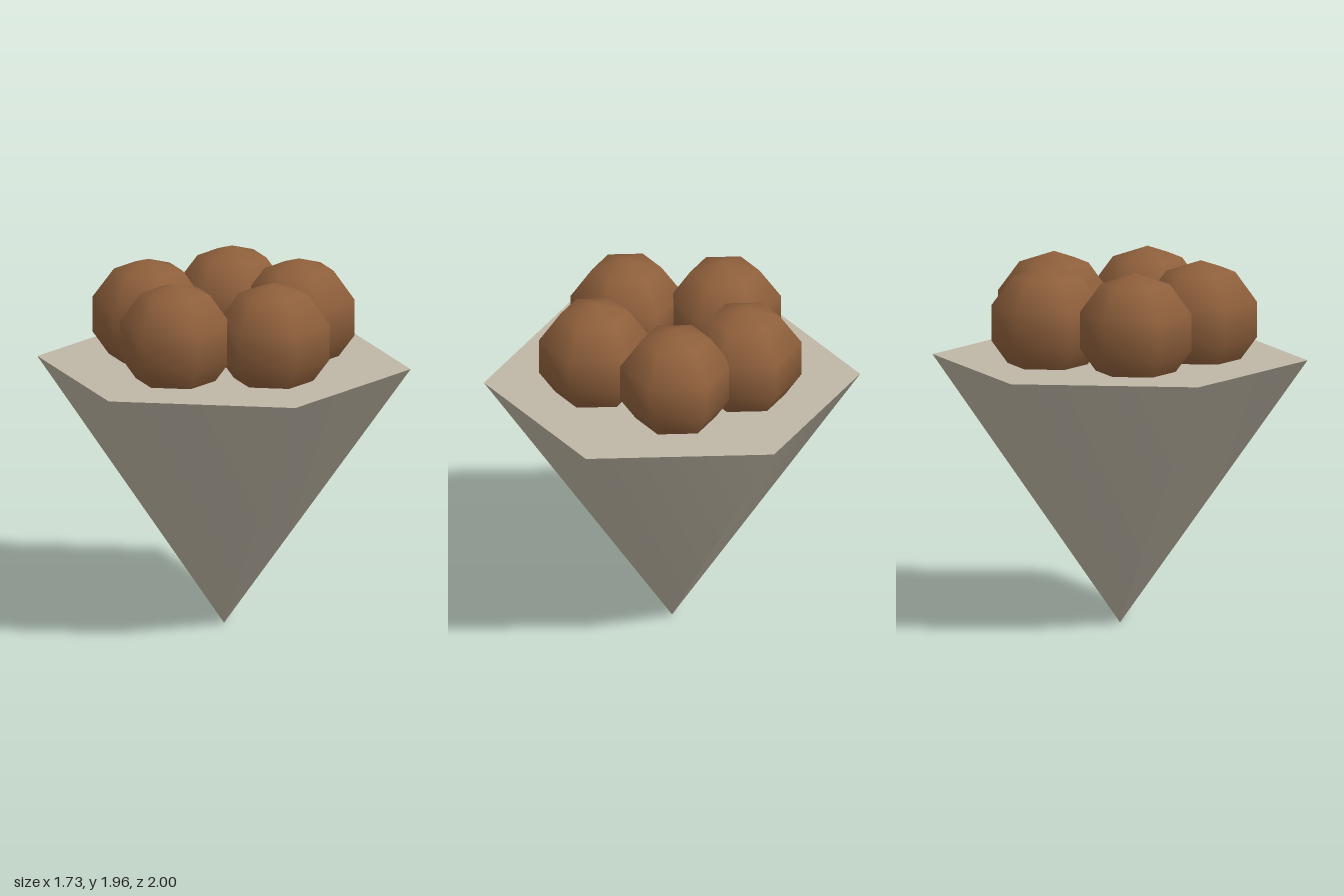
import * as THREE from 'three';

export function createModel() {
  const group = new THREE.Group();
  const stone = new THREE.MeshStandardMaterial({ color: 0xbfb7a6 });
  stone.name = 'warm grey';
  const brown = new THREE.MeshStandardMaterial({ color: 0x8f603c });
  brown.name = 'brown';

  // Six-sided cone standing on its tip, closed on top
  const height = 1.43;
  const cone = new THREE.Mesh(new THREE.ConeGeometry(1, height, 6).rotateX(Math.PI), stone);
  cone.name = 'cone';
  cone.position.y = height / 2;
  group.add(cone);

  // Ring of five low-poly balls sunk slightly into the top
  const ballGeometry = new THREE.SphereGeometry(0.314, 6, 5).rotateY(Math.PI / 6);
  for (let i = 0; i < 5; i++) {
    const ball = new THREE.Mesh(ballGeometry, brown);
    const angle = i * 1.3;
    ball.name = `ball${i + 1}`;
    ball.position.set(0.43 * Math.cos(angle), 1.645, 0.43 * Math.sin(angle));
    group.add(ball);
  }
  return group;
}
